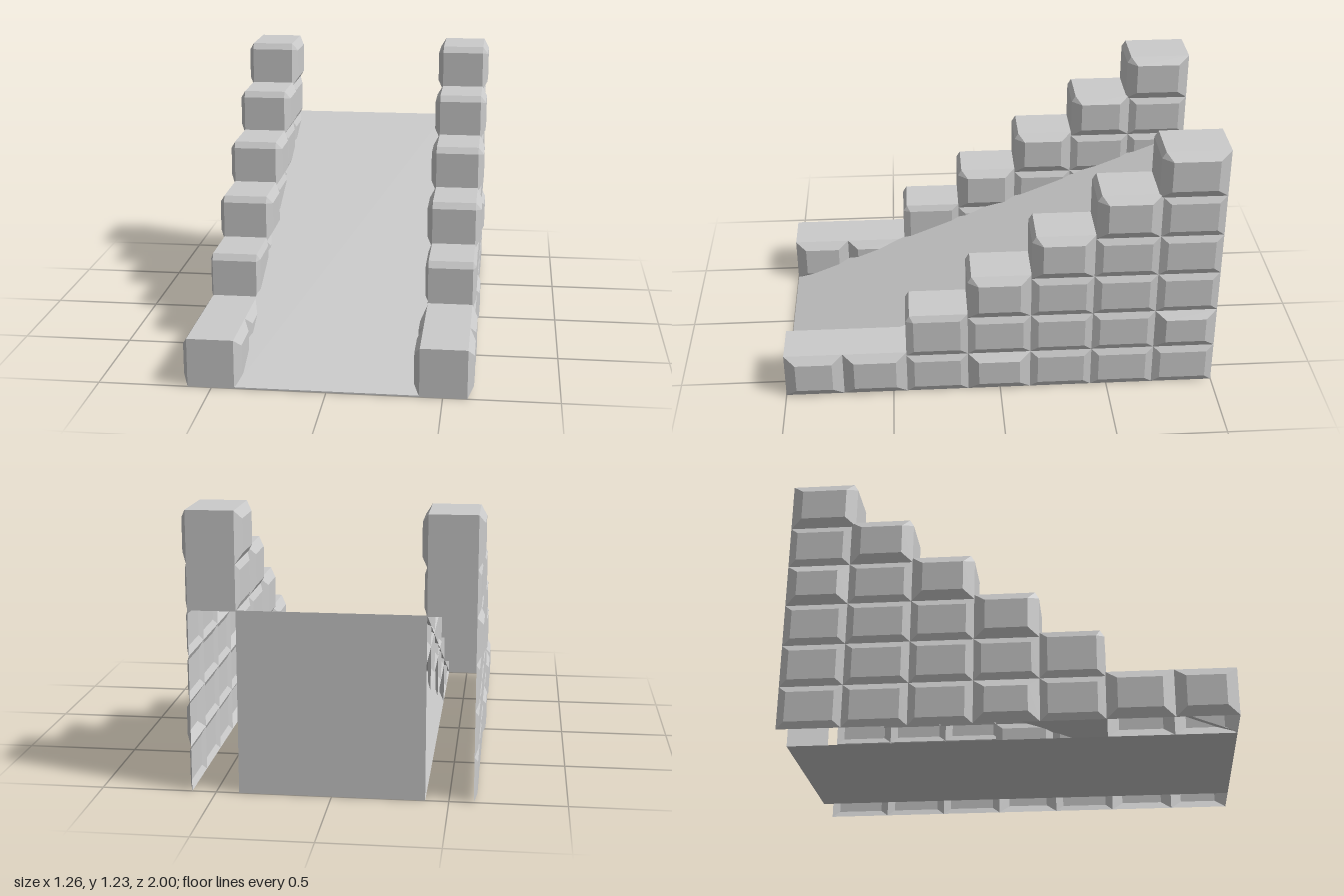
import * as THREE from 'three';

const material = new THREE.MeshStandardMaterial({ color: 0xcccccc, flatShading: true, side: THREE.DoubleSide });

const INNER = 0.4, OUTER = 0.605, RAMP_TOP = 0.805;
const columns = [1, 0.73, 0.435, 0.15, -0.14, -0.425, -0.715, -1]; // stone joints, front to back
const heights = [1, 1, 2, 3, 4, 5, 6];                            // stones in each column
const rows = [0, 0.2, 0.4, 0.6, 0.8, 1.0, 1.205];
const CAP = 0.02, CHAMFER_Z = 0.018, CHAMFER_Y = 0.03;

// boldly raised stones, as "column,row"
const boldBoth = ['0,0', '1,0', '3,0', '3,2', '4,3', '5,4', '6,5'];
const boldSide = { 1: [...boldBoth, '6,1'], '-1': [...boldBoth, '6,3'] };

// mesh from a list of convex polygons (corner arrays, counter-clockwise from outside)
function polygonMesh(name, polygons) {
  const positions = [];
  for (const p of polygons) {
    for (let i = 1; i < p.length - 1; i++) positions.push(...p[0], ...p[i], ...p[i + 1]);
  }
  const geometry = new THREE.BufferGeometry();
  geometry.setAttribute('position', new THREE.Float32BufferAttribute(positions, 3));
  geometry.computeVertexNormals();
  const mesh = new THREE.Mesh(geometry, material);
  mesh.name = name;
  return mesh;
}

// outline of one stone in (z, y); the top stone of a column has a chamfered front edge
function stoneOutline(c, r) {
  const front = columns[c] + (c === 6 && r === 5 ? 0.02 : 0), back = columns[c + 1];
  const low = rows[r], isTop = r === heights[c] - 1;
  const high = rows[r + 1] + (isTop ? CAP : 0);
  const outline = [[front, low], [back, low], [back, high]];
  if (isTop && c > 1) outline.push([front - CHAMFER_Z, high], [front, high - CHAMFER_Y]);
  else outline.push([front, high]);
  return outline;
}

// raised stone face: a bevel ring round an inset flat face, pointing along dir in x
function raisedStone(outline, x, dir, bold) {
  const zs = outline.map((p) => p[0]), ys = outline.map((p) => p[1]);
  const insetZ = bold ? 0.05 : 0.035, insetY = bold ? 0.04 : 0.03, depth = bold ? 0.026 : 0.014;
  const clamp = THREE.MathUtils.clamp;
  const base = outline.map(([z, y]) => [x, y, z]);
  const face = outline.map(([z, y]) => [
    x + dir * depth,
    clamp(y, Math.min(...ys) + insetY, Math.max(...ys) - insetY),
    clamp(z, Math.min(...zs) + insetZ, Math.max(...zs) - insetZ),
  ]);
  const polygons = base.map((p, i) => {
    const j = (i + 1) % base.length;
    return [p, base[j], face[j], face[i]];
  });
  polygons.push(face);
  return dir > 0 ? polygons : polygons.map((p) => p.reverse());
}

// stepped front and top surface of a wall, open underneath and at the lower back
function stepPolygons(side) {
  const path = [[1, 0]];
  heights.forEach((h, c) => {
    if (c === 1) return;
    const y = rows[h] + CAP, z = columns[c] + (c === 6 ? 0.02 : 0);
    const floor = path[path.length - 1][1];
    if (c === 0) {
      path.push([1, y], [columns[2], y]);
      return;
    }
    path.push([z, floor]);
    path.push([z, y - CHAMFER_Y], [z - CHAMFER_Z, y], [columns[c + 1], y]);
  });
  path.push([-1, RAMP_TOP - 0.005]);
  const lo = Math.min(side * INNER, side * OUTER), hi = Math.max(side * INNER, side * OUTER);
  return path.slice(1).map(([z, y], i) => {
    const [z0, y0] = path[i];
    return [[lo, y0, z0], [hi, y0, z0], [hi, y, z], [lo, y, z]];
  });
}

function createWall(side, name) {
  const wall = new THREE.Group();
  wall.name = name;
  const outer = [], inner = [];
  heights.forEach((h, c) => {
    for (let r = 0; r < h; r++) {
      const outline = stoneOutline(c, r);
      outer.push(...raisedStone(outline, side * OUTER, side, boldSide[side].includes(`${c},${r}`)));
      // the inner face only shows where the stone rises above the ramp
      const rampHeight = RAMP_TOP * (1 - columns[c]) / 2;
      if (rows[r + 1] > rampHeight) {
        inner.push(...raisedStone(outline, side * INNER, -side, boldBoth.includes(`${c},${r}`)));
      }
    }
  });
  wall.add(
    polygonMesh('outerStones', outer),
    polygonMesh('innerStones', inner),
    polygonMesh('wallSteps', stepPolygons(side)),
  );
  return wall;
}

// ramp: slope, underside and back, open at both sides
function createRamp() {
  const w = INNER, h = RAMP_TOP;
  return polygonMesh('ramp', [
    [[-w, 0.006, 1], [w, 0.006, 1], [w, h, -1], [-w, h, -1]],
    [[-w, 0, -1], [w, 0, -1], [w, 0, 1], [-w, 0, 1]],
    [[w, 0, -1], [-w, 0, -1], [-w, h, -1], [w, h, -1]],
    [[-w, 0, 1], [w, 0, 1], [w, 0.006, 1], [-w, 0.006, 1]],
  ]);
}

export function createModel() {
  const model = new THREE.Group();
  model.name = 'walledRamp';
  model.add(createRamp(), createWall(1, 'leftWall'), createWall(-1, 'rightWall'));
  return model;
}
